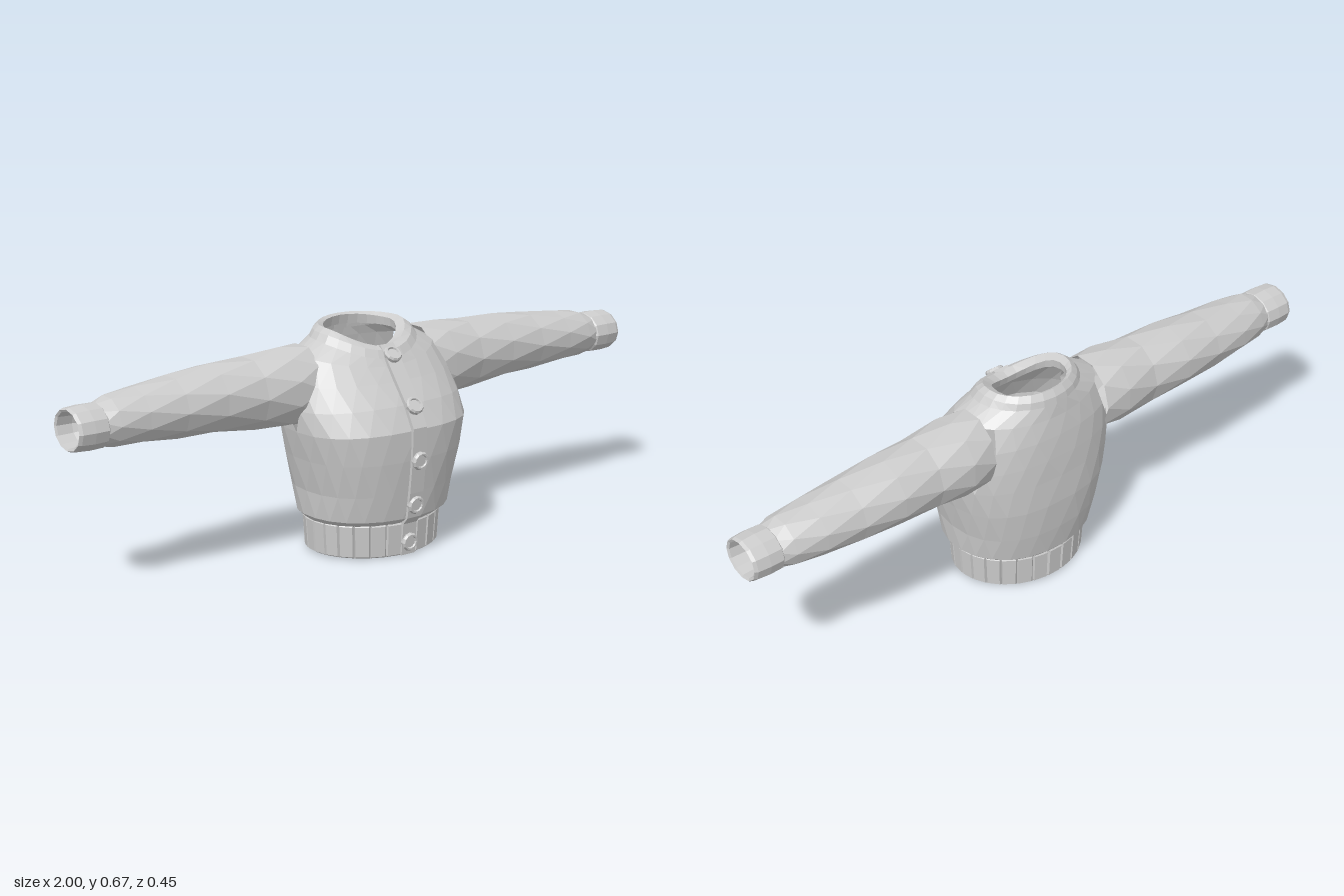
import * as THREE from 'three';

const V = (x, y, z) => new THREE.Vector3(x, y, z);

// Skin a list of closed rings; stagger means odd rings are turned half a step
function loft(rings, { stagger = false, skip = () => false } = {}) {
  const n = rings[0].length, pos = [];
  const tri = (a, b, c) => {
    const m = a.clone().add(b).add(c).divideScalar(3);
    if (!skip(m)) for (const p of [a, b, c]) pos.push(p.x, p.y, p.z);
  };
  for (let i = 0; i < rings.length - 1; i++) {
    const A = rings[i], B = rings[i + 1];
    for (let j = 0; j < n; j++) {
      const k = (j + 1) % n;
      if (stagger && i % 2 === 0) {
        tri(A[j], B[j], A[k]);
        tri(A[k], B[j], B[k]);
      } else {
        tri(A[j], B[j], B[k]);
        tri(A[j], B[k], A[k]);
      }
    }
  }
  const g = new THREE.BufferGeometry();
  g.setAttribute('position', new THREE.Float32BufferAttribute(pos, 3));
  g.computeVertexNormals();
  return g;
}

const spow = (v, e) => Math.sign(v) * Math.abs(v) ** e;

// Horizontal ring whose height differs at the front, sides and back
function bodyRing(angles, [yf, ys, yb, a, zf, zb, e = 1]) {
  return angles.map((t) => {
    const c = Math.cos(t), s = Math.sin(t);
    const y = ys + ((s > 0 ? yf : yb) - ys) * s * s;
    return V(a * spow(c, e), y, (zf + zb) / 2 + (zf - zb) / 2 * spow(s, e));
  });
}

const steps = (n, shift = 0) =>
  Array.from({ length: n }, (_, i) => (i + shift) / n * Math.PI * 2);

export function createModel() {
  const model = new THREE.Group();
  const knit = new THREE.MeshStandardMaterial({ color: 0xcccccc });
  knit.name = 'grey knit';
  knit.flatShading = true;
  knit.side = THREE.DoubleSide;
  const add = (name, geometry, parent = model) => {
    const m = new THREE.Mesh(geometry, knit);
    m.name = name;
    parent.add(m);
    return m;
  };

  // Body: front, side and back heights, half width, front z, back z, roundness
  const bodyRows = [
    [0.1, 0.1, 0.1, 0.212, 0.158, -0.188],
    [0.12, 0.122, 0.115, 0.235, 0.18, -0.202, 0.92],
    [0.2, 0.2, 0.2, 0.242, 0.192, -0.215, 0.85],
    [0.3, 0.3, 0.3, 0.262, 0.203, -0.222, 0.8],
    [0.39, 0.385, 0.39, 0.28, 0.207, -0.22, 0.8],
    [0.46, 0.45, 0.46, 0.284, 0.17, -0.217, 0.85],
    [0.52, 0.52, 0.53, 0.272, 0.124, -0.21, 0.9],
    [0.56, 0.595, 0.59, 0.235, 0.094, -0.2],
    [0.588, 0.638, 0.63, 0.16, 0.076, -0.194],
  ];
  // Armholes are left open behind the sleeves
  const armhole = (p) => Math.abs(p.x) > 0.2
    && ((p.y - 0.505) / 0.1) ** 2 + ((p.z + 0.07) / 0.09) ** 2 < 1;
  add('body', loft(bodyRows.map((r, i) => bodyRing(steps(24, (i % 2) / 2), r)),
    { stagger: true, skip: armhole }));

  // Hem: ribbed outside, plain inside
  const ribs = 26, hemAngles = [];
  for (let i = 0; i < ribs; i++)
    for (const f of [0, 0.82, 0.91]) hemAngles.push((i + f) / ribs * Math.PI * 2);
  const hemRing = (y, grow, ribbed) => {
    const ring = bodyRing(hemAngles,
      [y, y + 0.004, y, 0.213 + grow, 0.158 + grow, -0.188 + grow * -0.9]);
    if (ribbed) ring.forEach((p, i) => {
      if (i % 3 === 2) { p.x *= 0.96; p.z = (p.z + 0.015) * 0.96 - 0.015; }
    });
    return ring;
  };
  add('hem', loft([
    hemRing(0.1, -0.016), hemRing(0.006, -0.018), hemRing(0, -0.008),
    hemRing(0.005, 0, true), hemRing(0.098, 0.006, true),
    hemRing(0.104, 0.002), hemRing(0.1, -0.016),
  ]));

  // Collar band around the neck opening
  add('collar', loft([
    [0.58, 0.63, 0.615, 0.172, 0.085, -0.196],
    [0.603, 0.652, 0.65, 0.155, 0.072, -0.189],
    [0.613, 0.665, 0.67, 0.137, 0.052, -0.175],
    [0.604, 0.655, 0.665, 0.115, 0.024, -0.165],
    [0.58, 0.63, 0.635, 0.118, 0.03, -0.172],
  ].map((r) => bodyRing(steps(24), r))));

  // Sleeves: x, centre y, half height, centre z, half depth
  const sleeveRows = [
    [0.21, 0.508, 0.118, -0.072, 0.108],
    [0.29, 0.508, 0.118, -0.075, 0.116],
    [0.4, 0.507, 0.107, -0.076, 0.108],
    [0.53, 0.512, 0.1, -0.082, 0.108],
    [0.66, 0.508, 0.09, -0.08, 0.1],
    [0.78, 0.507, 0.08, -0.078, 0.092],
    [0.87, 0.504, 0.072, -0.073, 0.079],
    [0.915, 0.5, 0.058, -0.07, 0.066],
  ];
  const armRing = (n, shift, [x, yc, ry, zc, rz]) =>
    steps(n, shift).map((t) => V(x, yc + ry * Math.sin(t), zc + rz * Math.cos(t)));
  const sleeveGeo = loft(sleeveRows.map((r, i) => armRing(10, (i % 2) / 2, r)),
    { stagger: true });

  // Cuff: x and size, running round the rim to the inner lining
  const cuffGeo = loft([
    [0.9, 0.85], [0.908, 0.98], [0.95, 1], [0.99, 0.96], [1, 0.9],
    [0.996, 0.8], [0.95, 0.76], [0.905, 0.56],
  ].map(([x, s]) => armRing(12, 0, [x, 0.5, 0.065 * s, -0.07, 0.075 * s])));

  for (const [side, sx] of [['left', 1], ['right', -1]]) {
    const arm = new THREE.Group();
    arm.name = side + 'Arm';
    arm.scale.x = sx;
    add(side + 'Sleeve', sleeveGeo, arm);
    add(side + 'Cuff', cuffGeo, arm);
    model.add(arm);
  }

  // Button band down the front, as (z, y) profile
  const path = [[0.155, 0.002], [0.163, 0.1], [0.182, 0.122], [0.194, 0.2],
    [0.205, 0.3], [0.209, 0.395], [0.17, 0.467], [0.08, 0.585], [0.052, 0.615]];
  const band = new THREE.Shape([
    ...path.map(([z, y]) => new THREE.Vector2(z + 0.006, y + (y > 0.39 ? 0.003 : 0))),
    ...path.slice().reverse().map(([z, y]) => new THREE.Vector2(z - 0.014, y - (y > 0.39 ? 0.008 : 0))),
  ]);
  const bandGeo = new THREE.ExtrudeGeometry(band, { depth: 0.05, bevelEnabled: false });
  bandGeo.rotateY(-Math.PI / 2).translate(0.025, 0, 0);
  add('buttonBand', bandGeo);

  // Buttons with a raised rim: y, z and tilt
  const buttonGeo = new THREE.LatheGeometry(
    [[0.026, -0.006], [0.028, 0.006], [0.024, 0.012], [0.019, 0.012], [0.017, 0.007], [0, 0.007]]
      .map(([r, h]) => new THREE.Vector2(r, h)), 12);
  for (const [y, z, tilt] of [[0.042, 0.164, 1.65], [0.162, 0.192, 1.68],
    [0.3, 0.212, 1.66], [0.457, 0.185, 0.85], [0.59, 0.084, 0.68]]) {
    const b = add('button', buttonGeo);
    b.position.set(0, y, z);
    b.rotation.x = tilt;
  }
  return model;
}
